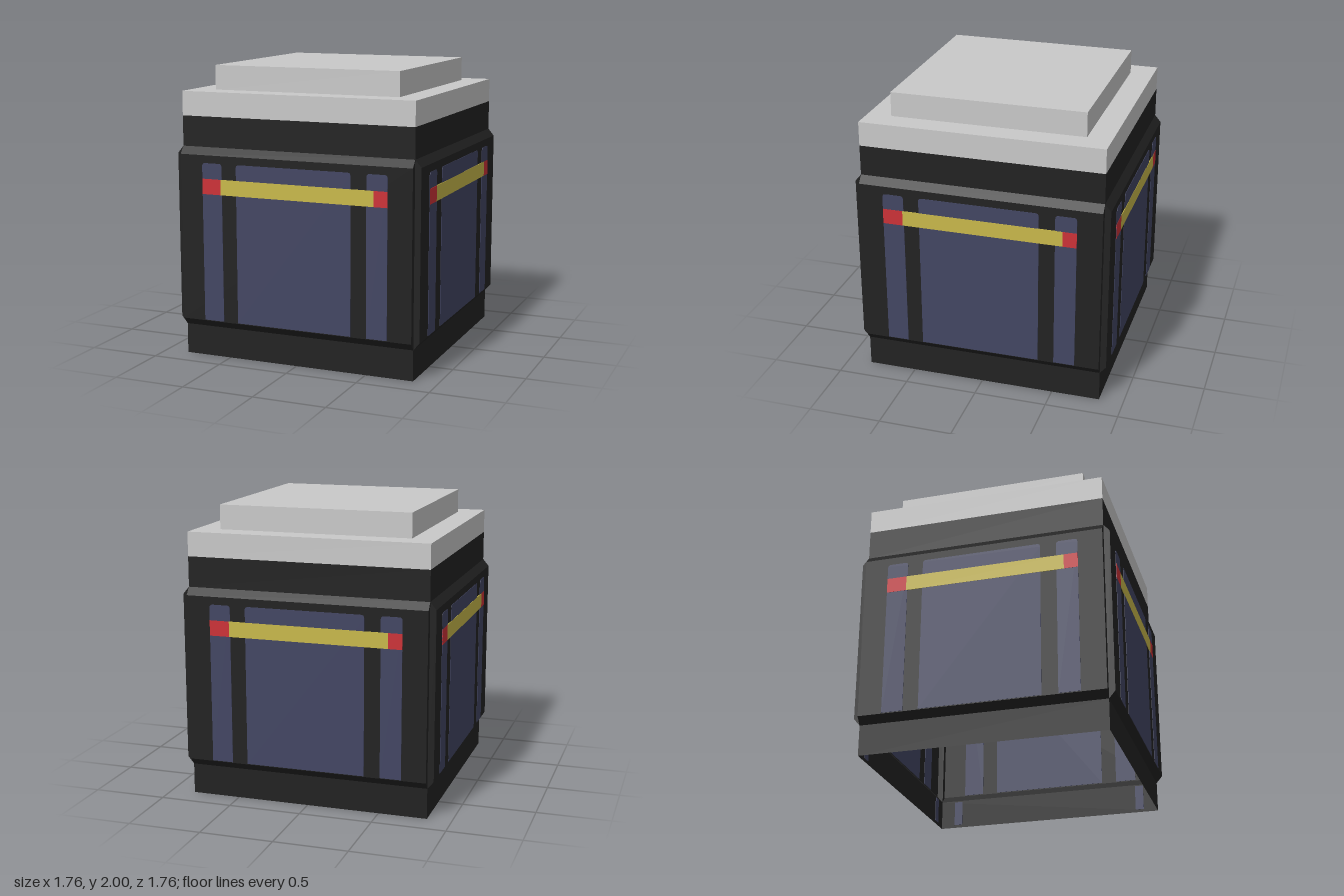
import * as THREE from 'three';

const W = 0.833;      // half width of the walls
const OUT = 0.875;    // distance of the raised panel from the centre
const T = 0.006;      // thickness of painted details

const black = new THREE.MeshStandardMaterial({ color: 0x222222, side: THREE.DoubleSide });
black.name = 'black';
const mat = (name, color) => {
  const m = new THREE.MeshStandardMaterial({ color });
  m.name = name;
  return m;
};
const grey = mat('light grey', 0xc9c9c9);
const blue = mat('slate blue', 0x434663);
const yellow = mat('yellow', 0xc9b94b);
const red = mat('red', 0xcd3238);

function add(parent, name, geometry, material) {
  const mesh = new THREE.Mesh(geometry, material);
  mesh.name = name;
  parent.add(mesh);
  return mesh;
}

// Thin plate seen from both sides of the wall
function plate(parent, name, material, x0, x1, y0, y1, z, depth = T) {
  const g = new THREE.BoxGeometry(x1 - x0, y1 - y0, depth);
  g.translate((x0 + x1) / 2, (y0 + y1) / 2, z);
  return add(parent, name, g, material);
}

// Plate with rounded top corners
function windowPlate(parent, name, x0, x1, y0, y1) {
  const r = 0.022;
  const s = new THREE.Shape();
  s.moveTo(x0, y0);
  s.lineTo(x1, y0);
  s.lineTo(x1, y1 - r);
  s.quadraticCurveTo(x1, y1, x1 - r, y1);
  s.lineTo(x0 + r, y1);
  s.quadraticCurveTo(x0, y1, x0, y1 - r);
  const g = new THREE.ExtrudeGeometry(s, { depth: T, bevelEnabled: false, curveSegments: 4 });
  g.translate(0, 0, OUT - T / 2);
  return add(parent, name, g, blue);
}

// Wall sheet swept from its side profile, with closed ends on the raised part
function wallGeometry() {
  const profile = [[0, W], [0.21, W], [0.26, OUT], [1.41, OUT], [1.46, W], [1.667, W]];
  const pos = [];
  for (let i = 0; i < profile.length - 1; i++) {
    const [y0, z0] = profile[i], [y1, z1] = profile[i + 1];
    pos.push(-W, y0, z0, W, y0, z0, W, y1, z1, -W, y0, z0, W, y1, z1, -W, y1, z1);
  }
  for (const side of [1, -1]) {
    const order = side > 0 ? [1, 4, 3, 1, 3, 2] : [1, 3, 4, 1, 2, 3];
    for (const i of order) pos.push(side * W, profile[i][0], profile[i][1]);
  }
  const g = new THREE.BufferGeometry();
  g.setAttribute('position', new THREE.Float32BufferAttribute(pos, 3));
  g.computeVertexNormals();
  return g;
}

function createWall() {
  const wall = new THREE.Group();
  add(wall, 'wallShell', wallGeometry(), black);

  // Blue panels above and below the stripe
  windowPlate(wall, 'centrePanel', -0.415, 0.41, 0.265, 1.357);
  windowPlate(wall, 'leftEdgePanel', 0.52, 0.665, 0.265, 1.357);
  windowPlate(wall, 'rightEdgePanel', -0.668, -0.522, 0.265, 1.357);

  // Stripe with red ends
  plate(wall, 'stripe', yellow, -0.53, 0.57, 1.145, 1.25, OUT, 0.009);
  plate(wall, 'stripeEndRight', red, -0.668, -0.53, 1.145, 1.25, OUT, 0.009);
  plate(wall, 'stripeEndLeft', red, 0.57, 0.665, 1.145, 1.25, OUT, 0.009);

  // Small marks on the inside of the lower band
  for (const s of [-1, 1]) {
    plate(wall, 'innerMark', blue, s * 0.7 - 0.03, s * 0.7 + 0.03, 0.02, 0.2, W - 0.004, 0.004);
  }
  return wall;
}

export function createModel() {
  const model = new THREE.Group();
  model.name = 'squareBin';

  // Four equal walls, open underneath
  ['frontWall', 'leftWall', 'backWall', 'rightWall'].forEach((name, i) => {
    const wall = createWall();
    wall.name = name;
    wall.rotation.y = i * Math.PI / 2;
    model.add(wall);
  });

  // Stepped lid
  const rim = add(model, 'lidBase', new THREE.BoxGeometry(2 * W, 0.166, 2 * W), grey);
  rim.position.y = 1.75;
  const top = add(model, 'lidTop', new THREE.BoxGeometry(1.333, 0.167, 1.333), grey);
  top.position.y = 1.9165;
  return model;
}
